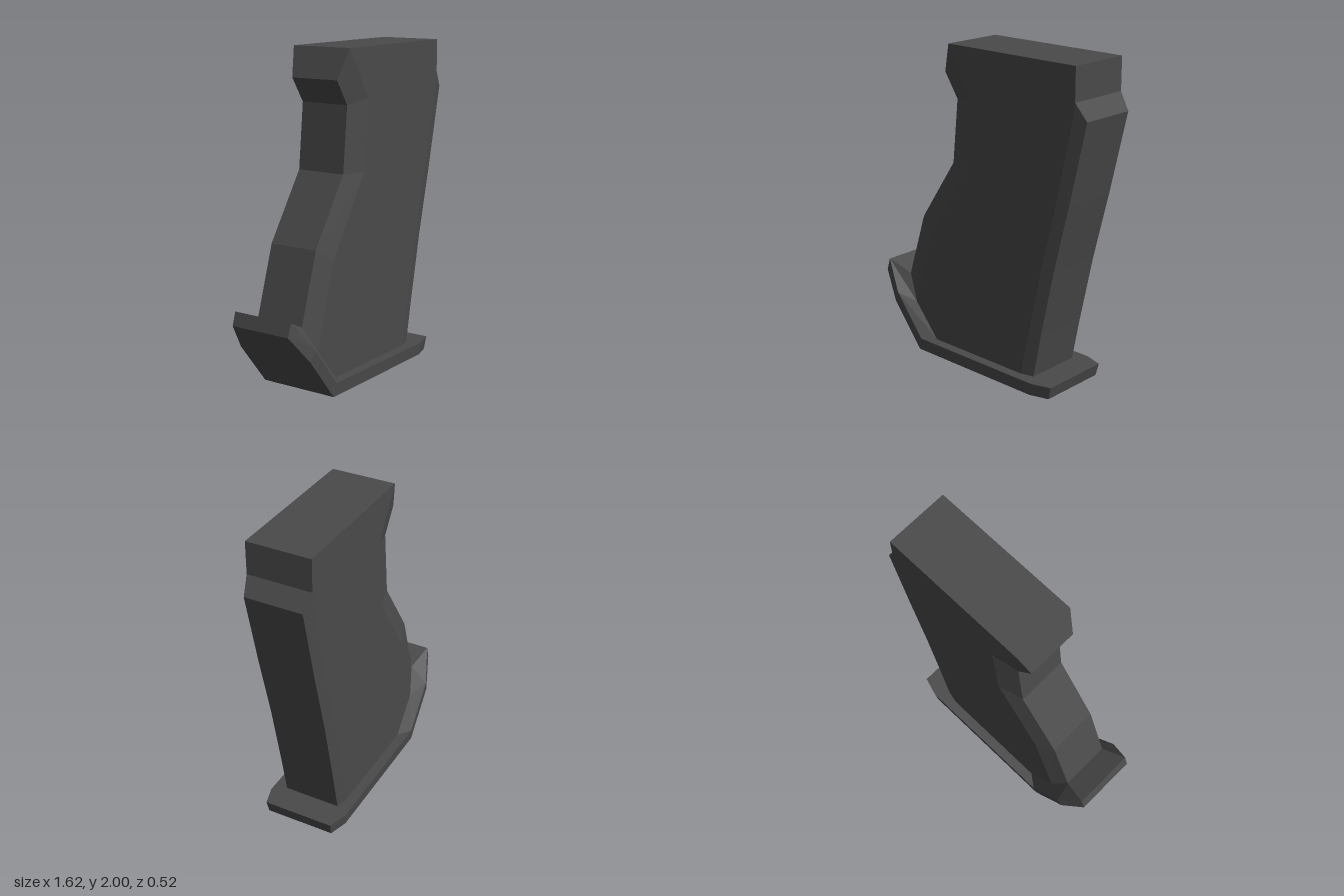
import * as THREE from 'three';

const material = new THREE.MeshStandardMaterial({ color: 0x4a4a4a, flatShading: true });

// Skins a stack of half outlines (listed bottom to top, each running from -x to +x
// on the +z side). Every outline is mirrored in z to a full ring; both ends are capped.
function skin(name, rows) {
  const pos = [];
  const quad = (a, b, c, d) => pos.push(...a, ...b, ...c, ...a, ...c, ...d);
  const mirror = ([x, y, z]) => [x, y, -z];
  const rings = rows.map((row) => [...row, ...row.map(mirror).reverse()]);
  const n = rings[0].length;

  // side walls
  for (let r = 0; r < rings.length - 1; r++) {
    for (let j = 0; j < n; j++) {
      const k = (j + 1) % n;
      quad(rings[r][j], rings[r][k], rings[r + 1][k], rings[r + 1][j]);
    }
  }
  // end caps, as strips from +z to -z
  const first = rows[0], last = rows[rows.length - 1];
  for (let i = 0; i < first.length - 1; i++) {
    quad(mirror(first[i]), mirror(first[i + 1]), first[i + 1], first[i]);
    quad(last[i], last[i + 1], mirror(last[i + 1]), mirror(last[i]));
  }
  const geometry = new THREE.BufferGeometry();
  geometry.setAttribute('position', new THREE.Float32BufferAttribute(pos, 3));
  geometry.computeVertexNormals();
  const mesh = new THREE.Mesh(geometry, material);
  mesh.name = name;
  return mesh;
}

export function createModel() {
  const group = new THREE.Group();
  group.name = 'handGrip';

  // grip: rear edge, rear bevel, front bevel, front edge
  const w = 0.2, rear = 0.16, front = 0.18;
  group.add(skin('gripBody', [
    [[-0.40, 0.08, rear], [-0.36, 0.08, w], [0.36, 0.08, w], [0.445, 0.08, front]],
    [[-0.635, 0.45, rear], [-0.54, 0.29, w], [0.42, 0.36, w], [0.50, 0.36, front]],
    [[-0.50, 0.87, rear], [-0.38, 0.80, w], [0.51, 0.77, w], [0.59, 0.78, front]],
    [[-0.23, 1.27, rear], [-0.07, 1.27, w], [0.615, 1.20, w], [0.695, 1.20, front]],
    [[-0.19, 1.67, rear], [-0.03, 1.70, w], [0.725, 1.70, w], [0.81, 1.70, front]],
    [[-0.29, 1.82, rear], [-0.125, 1.85, w], [0.74, 1.80, w], [0.74, 1.80, w]],
    [[-0.22, 2.00, w], [-0.22, 2.00, w], [0.74, 2.00, w], [0.74, 2.00, w]],
  ]));

  // base plate: underside, outer rim, inner edge where it meets the grip
  group.add(skin('basePlate', [
    [[-0.815, 0.44, 0.2], [-0.68, 0.27, 0.255], [-0.46, 0, 0.255], [0.48, 0, 0.255], [0.60, 0, 0.22]],
    [[-0.79, 0.52, 0.2], [-0.65, 0.34, 0.262], [-0.44, 0.08, 0.262], [0.50, 0.08, 0.262], [0.62, 0.08, 0.225]],
    [[-0.635, 0.45, 0.16], [-0.54, 0.29, 0.2], [-0.36, 0.08, 0.2], [0.36, 0.08, 0.2], [0.445, 0.08, 0.18]],
  ]));

  return group;
}
